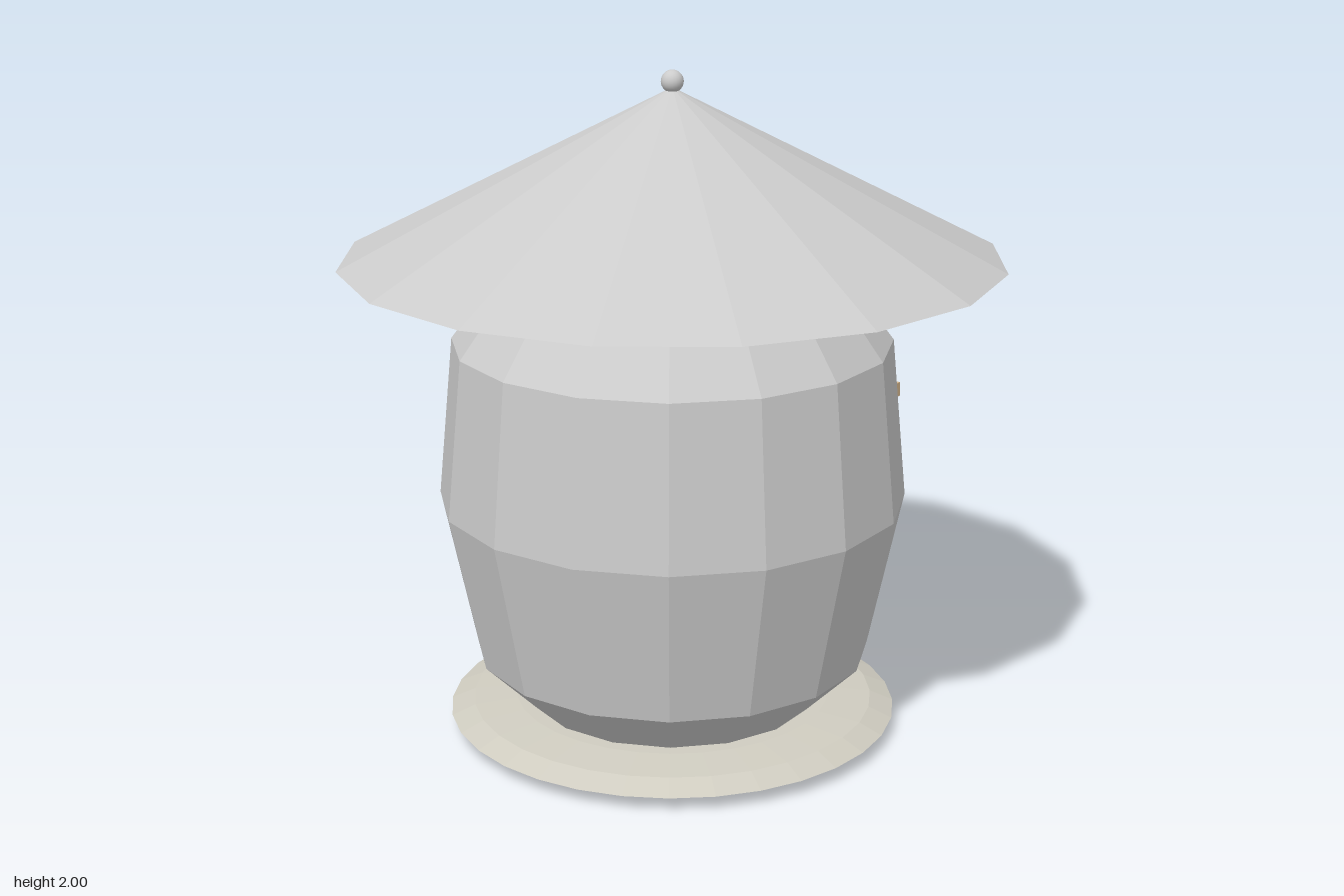
import * as THREE from 'three';

const material = (color = 0xcccccc, flatShading = false) =>
  new THREE.MeshStandardMaterial({ color, flatShading });

export function createModel() {
  const model = new THREE.Group();
  const add = (name, geometry, mat, x = 0, y = 0, z = 0) => {
    const mesh = new THREE.Mesh(geometry, mat);
    mesh.name = name;
    mesh.position.set(x, y, z);
    model.add(mesh);
    return mesh;
  };
  // Surface of revolution from [radius, height] pairs, listed bottom to top
  const lathe = (points, sides, start = 0) =>
    new THREE.LatheGeometry(points.map(([r, y]) => new THREE.Vector2(r, y)), sides, start);

  // Flat lens-shaped foot
  add('base', lathe([[0, 0.005], [0.48, 0.008], [0.61, 0.02], [0.68, 0.05],
    [0.61, 0.08], [0.48, 0.092], [0, 0.095]], 32), material(0xcfccc0, true));

  // Faceted barrel body, with one flat side facing each axis
  const k = 1 / Math.cos(Math.PI / 16);
  const profile = [[0, 0.07], [0.41, 0.07], [0.585, 0.245], [0.685, 0.725],
    [0.64, 1.205], [0.485, 1.415], [0, 1.43]];
  add('body', lathe(profile.map(([r, y]) => [r * k, y]), 16, Math.PI / 16),
    material(0xcccccc, true));

  // Tan disc under the roof
  add('roofDisc', lathe([[0, 1.418], [0.5, 1.42], [0.68, 1.428], [0.765, 1.449],
    [0, 1.449]], 32), material(0xd2b48c, true));

  // Conical roof and its knob
  add('roof', new THREE.ConeGeometry(0.975, 0.5, 16), material(0xcccccc, true), 0, 1.7, 0);
  add('knob', new THREE.SphereGeometry(0.033, 20, 14), material(), 0, 1.967, 0);

  // Window on the back: pane, shutter, crossbar and sill board
  const boards = [
    ['windowPane', 0.56, 0.76, 1.07, -0.66, -0.65, 0x87ceeb],
    ['shutter', 0.64, 0.72, 1.11, -0.715, -0.66, 0xd4d4cc],
    ['crossbar', 0.69, 0.895, 0.94, -0.77, -0.68, 0xd2b48c],
    ['sillBoard', 0.54, 0.585, 0.695, -0.78, -0.748, 0xc8c8c0],
  ];
  for (const [name, width, y0, y1, z0, z1, color] of boards) {
    add(name, new THREE.BoxGeometry(width, y1 - y0, z1 - z0), material(color),
      0, (y0 + y1) / 2, (z0 + z1) / 2);
  }
  return model;
}
